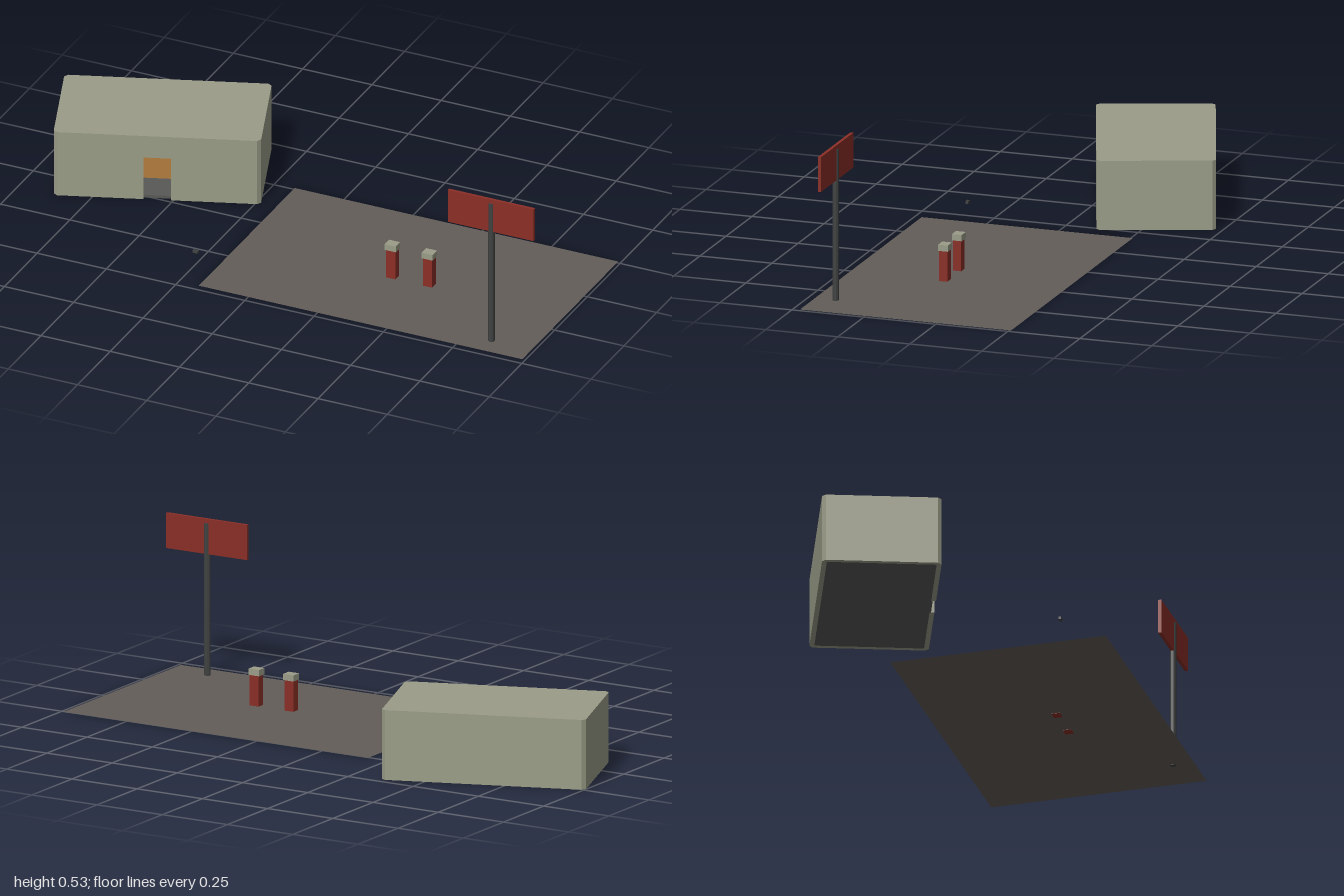
import * as THREE from 'three';

const mat = (name, color, side = THREE.FrontSide) => {
  const m = new THREE.MeshStandardMaterial({ color, side });
  m.name = name;
  return m;
};

export function createModel() {
  const wall = mat('wall grey green', 0x9b9d88);
  const red = mat('dark red', 0x8a2e26);
  const asphalt = mat('asphalt', 0x625d59, THREE.DoubleSide);
  const steel = mat('dark steel', 0x404242);
  const amber = mat('amber', 0xb47e3e);
  const floorGrey = mat('floor grey', 0x595958);

  const root = new THREE.Group();
  root.name = 'fuelStation';

  const add = (parent, name, geometry, material, x, y, z) => {
    const mesh = new THREE.Mesh(geometry, material);
    mesh.name = name;
    mesh.position.set(x, y, z);
    parent.add(mesh);
    return mesh;
  };
  // box given by its centre in plan and its bottom height
  const box = (parent, name, material, w, h, d, x, y, z) =>
    add(parent, name, new THREE.BoxGeometry(w, h, d), material, x, y + h / 2, z);

  // forecourt
  const pad = add(root, 'forecourt', new THREE.PlaneGeometry(1.168, 0.733), asphalt, 0.406, 0.001, 0.109);
  pad.rotation.x = -Math.PI / 2;

  // fuel pumps
  for (const x of [0.367, 0.5]) {
    const pump = new THREE.Group();
    pump.name = 'pump';
    pump.position.set(x, 0, 0.149);
    box(pump, 'pumpBody', red, 0.034, 0.104, 0.028, 0, 0, 0);
    box(pump, 'pumpCap', wall, 0.04, 0.021, 0.034, 0, 0.104, 0);
    root.add(pump);
  }

  // roadside sign
  add(root, 'signPole', new THREE.CylinderGeometry(0.0107, 0.0107, 0.514, 8).rotateY(Math.PI / 8).toNonIndexed(),
    steel, 0.845, 0.257, 0.404).geometry.computeVertexNormals();
  box(root, 'signBoard', red, 0.31, 0.118, 0.011, 0.845, 0.41, 0.404);

  // loose little block beside the forecourt
  box(root, 'smallBlock', steel, 0.019, 0.009, 0.009, -0.252, 0.041, 0.343);

  // building, turned toward the forecourt
  const building = new THREE.Group();
  building.name = 'building';
  building.position.set(-0.6175, 0, -0.179);
  building.rotation.y = THREE.MathUtils.degToRad(20);
  root.add(building);

  const W = 0.34, D = 0.1955, C = 0.012, T = 0.016;
  const doorHalf = 0.045, doorTop = 0.155, height = 0.235;

  // plan outline with cut corners; plan y is the front direction
  const outer = [
    [doorHalf, D], [W - C, D], [W, D - C], [W, -D + C], [W - C, -D],
    [-W + C, -D], [-W, -D + C], [-W, D - C], [-W + C, D], [-doorHalf, D],
  ];
  const w = W - T, d = D - T;
  const inner = [[-doorHalf, d], [-w, d], [-w, -d], [w, -d], [w, d], [doorHalf, d]];
  const shape = (pts) => new THREE.Shape(pts.map(([x, z]) => new THREE.Vector2(x, -z)));
  const slab = (name, s, bottom, top) => {
    const g = new THREE.ExtrudeGeometry(s, { depth: top - bottom, bevelEnabled: false });
    add(building, name, g.rotateX(-Math.PI / 2), wall, 0, bottom, 0);
  };

  slab('lowerWalls', shape([...outer, ...inner]), 0, doorTop);
  const ring = shape(outer);
  ring.holes.push(shape(inner));
  slab('upperWalls', ring, doorTop, height - 0.01);
  slab('roof', shape(outer), height - 0.01, height);

  // floor, hanging door panel and a low bench inside
  box(building, 'floor', floorGrey, 2 * w, 0.01, 2 * d, 0, 0, 0);
  box(building, 'doorSill', floorGrey, 2 * doorHalf, 0.01, T, 0, 0, d + T / 2 - 0.011);
  box(building, 'doorPanel', amber, 2 * doorHalf, 0.081, 0.005, 0, 0.074, D - 0.0135);
  box(building, 'benchBase', steel, 0.06, 0.025, 0.05, -0.214, 0.02, 0.113);
  box(building, 'benchTop', steel, 0.07, 0.006, 0.06, -0.214, 0.05, 0.113);
  for (const sx of [-1, 1])
    box(building, 'benchLeg', steel, 0.006, 0.042, 0.05, -0.214 + sx * 0.027, 0.009, 0.113);

  return root;
}
